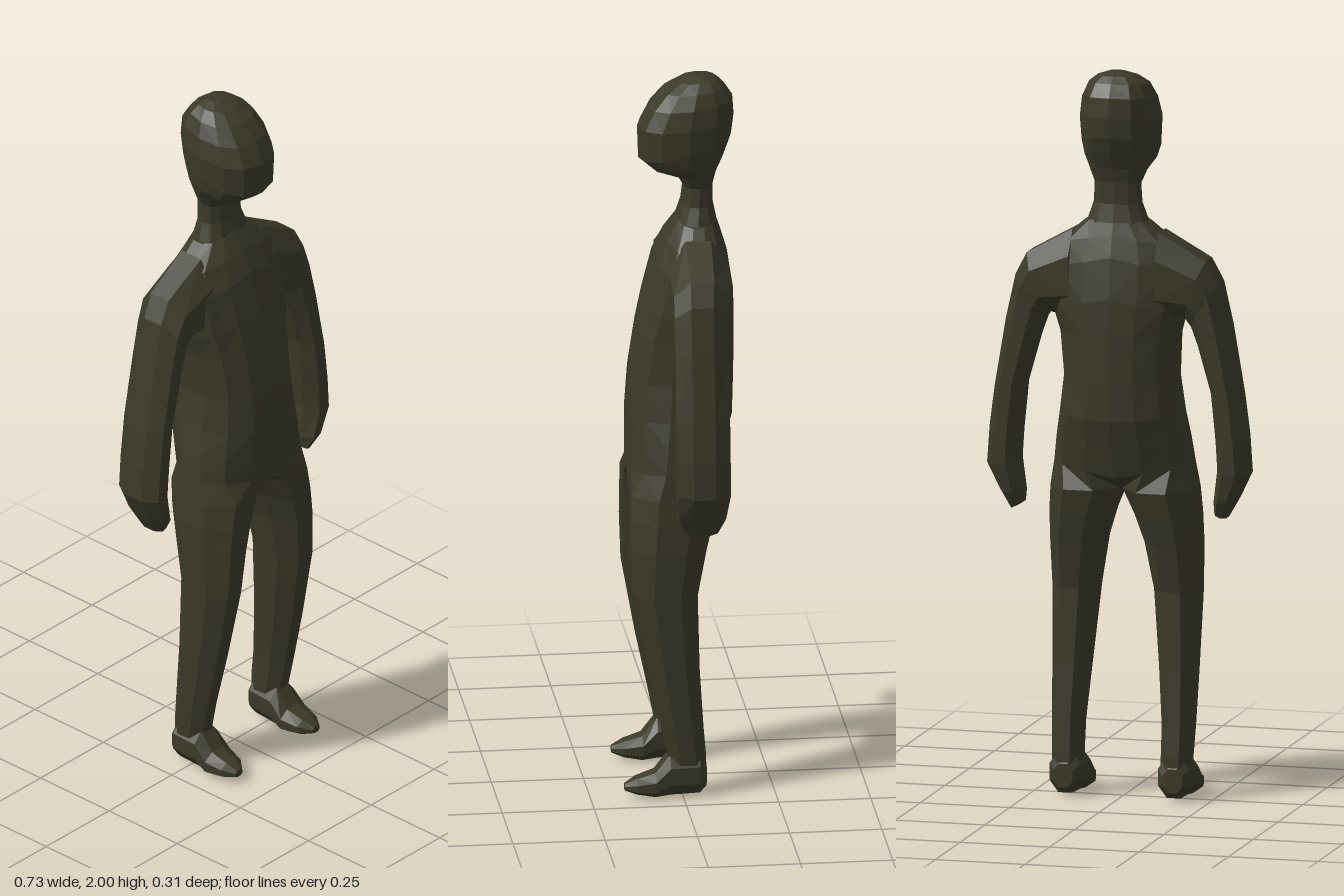
import * as THREE from 'three';

const V = (x, y, z) => new THREE.Vector3(x, y, z);

// Unit sections: u runs from the inner to the outer side (0..1), v from back to front (-1..1)
const LIMB = [[0, 0.42], [0.28, 1], [0.72, 1], [1, 0.42], [1, -0.42], [0.72, -1], [0.28, -1], [0, -0.42]];
const HALF = [[0, 1], [0.42, 0.96], [0.8, 0.72], [1, 0.28], [1, -0.28], [0.8, -0.72], [0.42, -0.94], [0, -1]];
const ROUND = Array.from({ length: 12 }, (_, i) => {
  const t = (i / 12) * Math.PI * 2;
  const soft = (n) => Math.sign(n) * Math.abs(n) ** 0.85;
  return [0.5 - 0.5 * soft(Math.cos(t)), soft(Math.sin(t))];
});

// A ring spans from a to b, and reaches half-vector h to either side
const ring = (a, b, h, section) =>
  section.map(([u, v]) => a.clone().lerp(b, u).addScaledVector(h, v));

// Skin a list of rings, close both ends and make the faces point outward
function loft(rings, mirror = 1) {
  const n = rings[0].length;
  const points = rings.flat().map((p) => V(p.x * mirror, p.y, p.z));
  const tris = [];
  for (let r = 0; r < rings.length - 1; r++) {
    for (let i = 0; i < n; i++) {
      const a = r * n + i, b = r * n + ((i + 1) % n);
      tris.push([a, b, a + n], [b, b + n, a + n]);
    }
  }
  for (const [start, flip] of [[0, true], [(rings.length - 1) * n, false]]) {
    const centre = V(0, 0, 0);
    for (let i = 0; i < n; i++) centre.addScaledVector(points[start + i], 1 / n);
    const c = points.push(centre) - 1;
    for (let i = 0; i < n; i++) {
      const a = start + i, b = start + ((i + 1) % n);
      tris.push(flip ? [b, a, c] : [a, b, c]);
    }
  }
  let volume = 0;
  for (const [a, b, c] of tris) volume += points[a].dot(points[b].clone().cross(points[c]));
  const index = tris.flatMap(([a, b, c]) => (volume < 0 ? [a, c, b] : [a, b, c]));
  const geometry = new THREE.BufferGeometry().setFromPoints(points);
  geometry.setIndex(index);
  geometry.computeVertexNormals();
  return geometry;
}

// Leg rows: y, inner x, outer x, front z, back z
const LEG = [
  [0.04, 0.112, 0.192, 0.03, -0.062],
  [0.12, 0.112, 0.192, 0.042, -0.062],
  [0.2, 0.112, 0.195, 0.058, -0.055],
  [0.36, 0.1, 0.198, 0.092, -0.045],
  [0.57, 0.082, 0.202, 0.13, -0.04],
  [0.7, 0.06, 0.204, 0.135, -0.065],
  [0.78, 0.035, 0.202, 0.135, -0.085],
  [0.85, 0.005, 0.196, 0.135, -0.1],
];

// Half torso rows: centre y, outer y, outer x, front z, back z
const TORSO = [
  [0.89, 0.92, 0.188, 0.135, -0.108],
  [0.97, 0.99, 0.178, 0.137, -0.13],
  [1.05, 1.06, 0.165, 0.137, -0.153],
  [1.16, 1.16, 0.152, 0.13, -0.156],
  [1.29, 1.28, 0.16, 0.11, -0.157],
  [1.39, 1.35, 0.18, 0.09, -0.155],
  [1.5, 1.46, 0.19, 0.06, -0.138],
  [1.56, 1.53, 0.16, 0.03, -0.12],
  [1.605, 1.59, 0.09, 0, -0.105],
];

// Arm rows: inner x, inner y, outer x, outer y, front z, back z
const ARM = [
  [0.12, 1.32, 0.12, 1.565, 0.035, -0.13],
  [0.19, 1.335, 0.25, 1.492, 0.032, -0.12],
  [0.207, 1.31, 0.283, 1.43, 0.033, -0.112],
  [0.225, 1.26, 0.31, 1.31, 0.033, -0.11],
  [0.262, 1.13, 0.342, 1.12, 0.034, -0.11],
  [0.275, 1.0, 0.356, 1.01, 0.034, -0.11],
  [0.28, 0.92, 0.363, 0.91, 0.033, -0.11],
  [0.268, 0.83, 0.33, 0.84, 0.028, -0.1],
  [0.268, 0.8, 0.3, 0.785, 0.005, -0.08],
];

// Foot rows: z, inner x, outer x, bottom y, top y
const FOOT = [
  [-0.064, 0.125, 0.18, 0.025, 0.09],
  [-0.045, 0.108, 0.195, 0.008, 0.12],
  [0.035, 0.103, 0.197, 0.005, 0.12],
  [0.075, 0.1, 0.2, 0, 0.068],
  [0.125, 0.112, 0.19, 0.008, 0.052],
  [0.157, 0.14, 0.168, 0.018, 0.036],
];

// Head rows: front y, front z, back y, back z, half width
const HEAD = [
  [1.57, 0.01, 1.59, -0.11, 0.09],
  [1.64, -0.012, 1.64, -0.1, 0.068],
  [1.69, -0.018, 1.7, -0.1, 0.065],
  [1.72, 0, 1.74, -0.11, 0.08],
  [1.742, 0.068, 1.785, -0.132, 0.097],
  [1.77, 0.102, 1.83, -0.15, 0.104],
  [1.86, 0.105, 1.885, -0.157, 0.108],
  [1.915, 0.076, 1.94, -0.153, 0.1],
  [1.96, 0.035, 1.975, -0.13, 0.083],
  [1.987, -0.01, 1.992, -0.108, 0.055],
  [2, -0.045, 2, -0.088, 0.025],
];

export function createModel() {
  const group = new THREE.Group();
  const material = new THREE.MeshStandardMaterial({ color: 0x3b3928, flatShading: true });
  const add = (name, rings, mirror) => {
    const mesh = new THREE.Mesh(loft(rings, mirror), material);
    mesh.name = name;
    group.add(mesh);
  };

  const legRings = LEG.map(([y, xi, xo, f, b]) =>
    ring(V(xi, y, (f + b) / 2), V(xo, y, (f + b) / 2), V(0, 0, (f - b) / 2), LIMB));
  const torsoRings = TORSO.map(([yc, yo, xo, f, b]) =>
    ring(V(0, yc, (f + b) / 2), V(xo, yo, (f + b) / 2), V(0, 0, (f - b) / 2), HALF));
  const armRings = ARM.map(([xi, yi, xo, yo, f, b]) =>
    ring(V(xi, yi, (f + b) / 2), V(xo, yo, (f + b) / 2), V(0, 0, (f - b) / 2), LIMB));
  const footRings = FOOT.map(([z, xi, xo, lo, hi]) =>
    ring(V(xi, (lo + hi) / 2, z), V(xo, (lo + hi) / 2, z), V(0, (hi - lo) / 2, 0), LIMB));
  const headRings = HEAD.map(([yf, zf, yb, zb, w]) => {
    const y = (yf + yb) / 2, z = (zf + zb) / 2;
    return ring(V(-w, y, z), V(w, y, z), V(0, (yf - yb) / 2, (zf - zb) / 2), ROUND);
  });

  // Each side: one skin from ankle to collar, plus the arm and foot
  for (const [side, mirror] of [['left', 1], ['right', -1]]) {
    add(side + 'LegAndTorso', [...legRings, ...torsoRings], mirror);
    add(side + 'Arm', armRings, mirror);
    add(side + 'Foot', footRings, mirror);
  }
  add('headAndNeck', headRings);
  return group;
}
